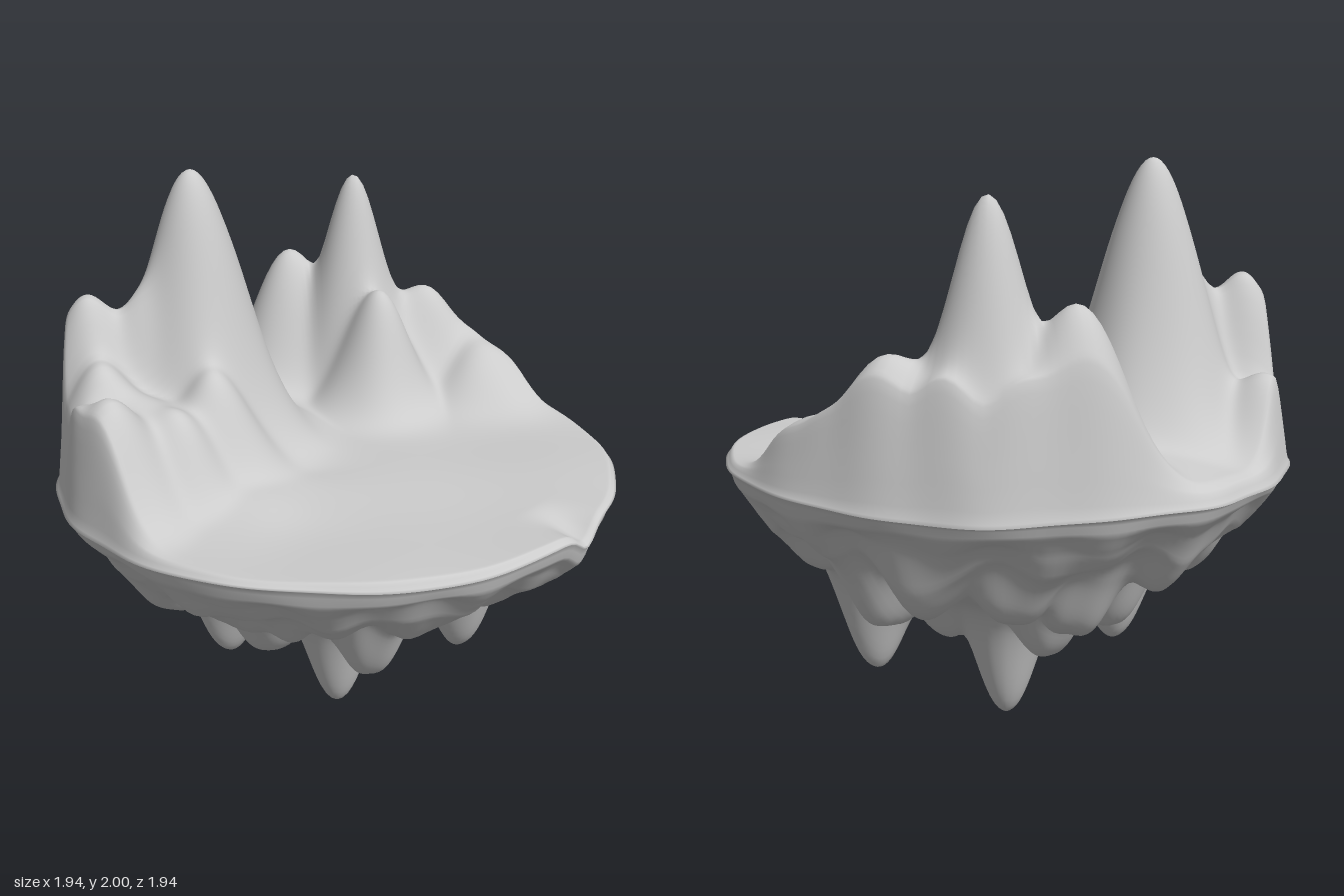
import * as THREE from 'three';
import { mergeVertices } from 'three/addons/utils/BufferGeometryUtils.js';

// Mountain peaks and foothills on top: x, z, height above the ground, spread
const PEAKS = [
  [-0.25, -0.42, 0.97, 0.17], [0.57, -0.42, 0.85, 0.125], [0.45, -0.64, 0.57, 0.145],
  [0.47, -0.21, 0.44, 0.12], [0.8, -0.23, 0.4, 0.13], [0.83, 0.03, 0.21, 0.14],
  [-0.58, -0.58, 0.59, 0.13], [-0.82, -0.18, 0.38, 0.12], [-0.42, -0.16, 0.35, 0.12],
  [-0.68, -0.42, 0.4, 0.12], [-0.86, -0.32, 0.33, 0.12], [-0.62, -0.12, 0.27, 0.11],
  [0.78, -0.45, 0.36, 0.12], [0.15, -0.6, 0.08, 0.2], [-0.38, -0.78, 0.27, 0.13],
  [-0.45, -0.48, 0.52, 0.11], [-0.62, -0.27, 0.31, 0.16], [0.68, -0.3, 0.33, 0.15],
  [-0.65, -0.68, 0.33, 0.12], [0.92, -0.1, 0.23, 0.12], [-0.94, -0.14, 0.24, 0.1],
  [0.66, -0.64, 0.34, 0.13], [-0.5, 0.02, 0.06, 0.18], [0.9, -0.28, 0.28, 0.12],
];

// Hanging rock spikes below: x, z, tip height, spread
const SPIKES = [
  [0, 0, 0, 0.1], [0.36, 0.33, 0.22, 0.105], [-0.33, -0.27, 0.27, 0.095],
  [-0.23, 0.35, 0.37, 0.09], [0.14, 0.2, 0.3, 0.1], [0.14, -0.31, 0.34, 0.095],
  [-0.43, 0.05, 0.44, 0.09], [0.6, 0, 0.49, 0.09], [0.25, -0.5, 0.47, 0.09],
  [-0.08, -0.42, 0.42, 0.085], [-0.55, 0.22, 0.61, 0.085], [0.25, 0.6, 0.66, 0.085],
  [-0.34, 0.55, 0.66, 0.085], [0.03, 0.68, 0.7, 0.085], [0.7, -0.27, 0.64, 0.085],
  [-0.62, -0.2, 0.6, 0.085], [-0.4, -0.55, 0.58, 0.085], [0.5, -0.45, 0.59, 0.08],
  [0.6, 0.35, 0.66, 0.085], [0.05, -0.72, 0.68, 0.085], [-0.15, -0.2, 0.33, 0.095],
];

// Underside profile without spikes: radius, height
const PROFILE = [[0, 0.4], [0.2, 0.46], [0.4, 0.57], [0.6, 0.69], [0.75, 0.75],
  [0.86, 0.82], [0.92, 0.9], [0.975, 0.95], [1, 1]];

// Rounded bump; a higher power makes the tip blunter
const bump = (x, z, cx, cz, s, power) =>
  Math.exp(-((((x - cx) ** 2 + (z - cz) ** 2) / (2 * s * s)) ** power));
const smooth = THREE.MathUtils.smoothstep;

// Smooth maximum of many bumps
function blend(values) {
  return Math.pow(values.reduce((sum, v) => sum + v ** 4, 0), 0.25);
}

function profileHeight(r) {
  let i = 0;
  while (i < PROFILE.length - 2 && r > PROFILE[i + 1][0]) i++;
  const [r0, y0] = PROFILE[i], [r1, y1] = PROFILE[i + 1];
  return THREE.MathUtils.lerp(y0, y1, (r - r0) / (r1 - r0));
}

// Outline of the island, more ragged at the back
function rimRadius(a) {
  const back = 0.35 + 0.65 * smooth(-Math.sin(a), -0.2, 0.4);
  return 0.966 + back * (0.008 * Math.sin(9 * a + 1) + 0.006 * Math.sin(17 * a));
}

// Waterfall notch at the front edge
const notch = (x, z) => 0.06 * Math.exp(-(((x - 0.08) / 0.07) ** 2)) * smooth(z, 0.75, 0.96);
const rimHeight = (a, x, z) =>
  1.0 + 0.01 * Math.sin(a) + 0.007 * Math.sin(5 * a + 1) - notch(x, z);

function terrainHeight(x, z, t, a) {
  const peaks = blend(PEAKS.map(([cx, cz, h, s]) => h * bump(x, z, cx, cz, s, 1)));
  const rough = 1 + 0.07 * Math.sin(17 * x + 5 * z) * Math.sin(15 * z - 4 * x);
  const fade = 1 - smooth(t, 0.935, 1);
  const ground = 1.028 + 0.007 * Math.sin(6 * x + 2) * Math.sin(7 * z) - notch(x, z);
  const inland = ground + peaks * THREE.MathUtils.lerp(rough, 1, Math.min(1, peaks / 0.8)) * fade;
  return THREE.MathUtils.lerp(inland, rimHeight(a, x, z), smooth(t, 0.975, 1));
}

function undersideHeight(x, z, t, a) {
  const depth = blend(SPIKES.map(([cx, cz, tip, s]) =>
    (profileHeight(Math.hypot(cx, cz)) - tip) * bump(x, z, cx, cz, s, 1.25)));
  const inner = smooth(t, 0.3, 0.7) * (1 - smooth(t, 0.9, 1));
  const ribs = 0.02 * Math.sin(13 * a + 5 * t) + 0.012 * Math.sin(23 * a - 9 * t)
    + 0.012 * Math.sin(24 * t + 2 * Math.sin(5 * a));
  const y = profileHeight(t) - depth * (1 - smooth(t, 0.93, 1)) + ribs * inner;
  return THREE.MathUtils.lerp(y - notch(x, z), rimHeight(a, x, z), smooth(t, 0.975, 1));
}

// One closed skin: the upper half of a sphere becomes the mountains,
// the lower half the hanging rock, and its equator the rim
function islandGeometry() {
  const sphere = new THREE.SphereGeometry(1, 216, 168);
  sphere.deleteAttribute('uv');
  sphere.deleteAttribute('normal');
  const geometry = mergeVertices(sphere, 1e-5);
  const p = geometry.attributes.position;
  for (let i = 0; i < p.count; i++) {
    const a = Math.atan2(p.getZ(i), p.getX(i));
    const polar = Math.atan2(Math.hypot(p.getX(i), p.getZ(i)), p.getY(i)) / Math.PI;
    const u = 2 * Math.min(polar, 1 - polar);
    const t = 1.4 * u - 0.4 * u * u; // rings packed towards the rim
    const r = t * rimRadius(a);
    const x = r * Math.cos(a), z = r * Math.sin(a);
    const height = polar < 0.5 ? terrainHeight : undersideHeight;
    p.setXYZ(i, x, height(x, z, t, a), z);
  }
  geometry.computeVertexNormals();
  return geometry;
}

export function createModel() {
  const group = new THREE.Group();
  group.name = 'floatingIsland';
  const rock = new THREE.Mesh(islandGeometry(), new THREE.MeshStandardMaterial({ color: 0xcccccc }));
  rock.name = 'mountainsAndHangingRock';
  group.add(rock);
  return group;
}
